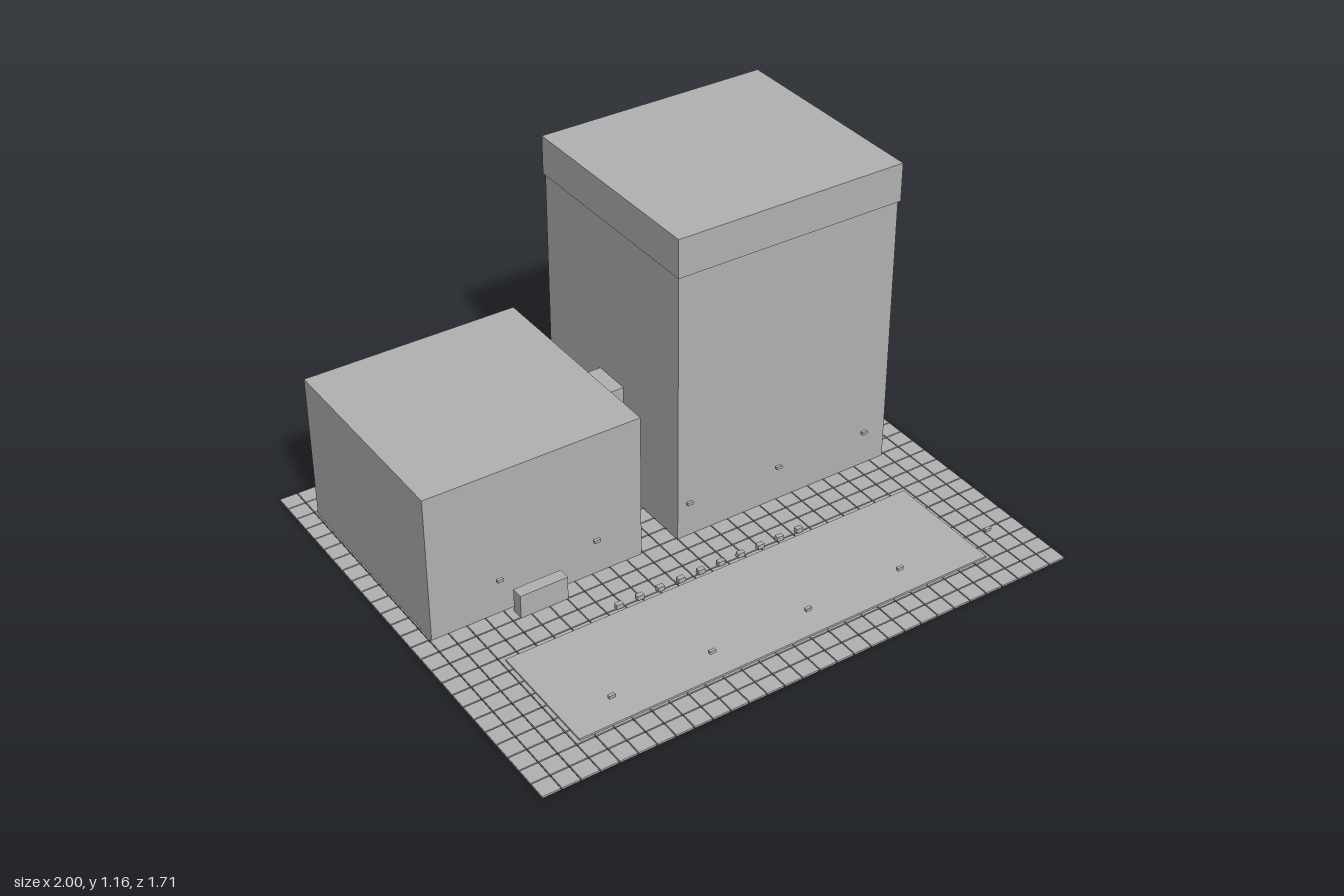
import * as THREE from 'three';
import { mergeGeometries } from 'three/addons/utils/BufferGeometryUtils.js';

const concrete = new THREE.MeshStandardMaterial({ color: 0xb2b2b2 });
concrete.name = 'concrete grey';

// Box geometry from its minimum and maximum corners
function span(x0, x1, y0, y1, z0, z1) {
  return new THREE.BoxGeometry(x1 - x0, y1 - y0, z1 - z0)
    .translate((x0 + x1) / 2, (y0 + y1) / 2, (z0 + z1) / 2);
}

export function createModel() {
  const model = new THREE.Group();
  model.name = 'campus';
  const add = (name, geometry) => {
    const mesh = new THREE.Mesh(geometry, concrete);
    mesh.name = name;
    model.add(mesh);
    return mesh;
  };

  // Paved ground: separate tiles with narrow joints
  const halfX = 1, halfZ = 0.857, cols = 30, rows = 26, joint = 0.004, paving = 0.007;
  const pitchX = (2 * halfX + joint) / cols;
  const pitchZ = (2 * halfZ + joint) / rows;
  const tiles = [];
  for (let i = 0; i < cols; i++) {
    for (let j = 0; j < rows; j++) {
      const x = -halfX + i * pitchX;
      const z = -halfZ + j * pitchZ;
      tiles.push(span(x, x + pitchX - joint, 0, paving, z, z + pitchZ - joint));
    }
  }
  add('pavingTiles', mergeGeometries(tiles));

  // Buildings and the bridge that joins them
  add('lowBuilding', span(-0.929, -0.143, paving, 0.553, -0.714, 0.072));
  add('tower', span(0, 0.857, paving, 1.023, -0.714, 0.073));
  add('towerCap', span(-0.005, 0.863, 1.023, 1.163, -0.721, 0.08));
  add('bridge', span(-0.143, 0, 0.292, 0.432, -0.393, -0.25));

  // Forecourt
  add('entranceBlock', span(-0.64, -0.464, paving, 0.095, 0.091, 0.135));
  add('plazaSlab', span(-0.786, 0.786, paving, 0.014, 0.285, 0.717));

  // Row of small blocks along the plaza edge
  for (let i = 0; i < 10; i++) {
    const x = -0.357 + i * 0.0788;
    add('bollard', span(x - 0.0125, x + 0.0125, 0.014, 0.031, 0.26, 0.277));
  }

  // Two rows of suspended lamps
  for (const z of [0.143, 0.786]) {
    for (let i = -2; i <= 2; i++) {
      const lamp = add('lamp', new THREE.BoxGeometry(0.022, 0.011, 0.011));
      lamp.position.set(i * 0.357, 0.2, z);
    }
  }
  return model;
}
